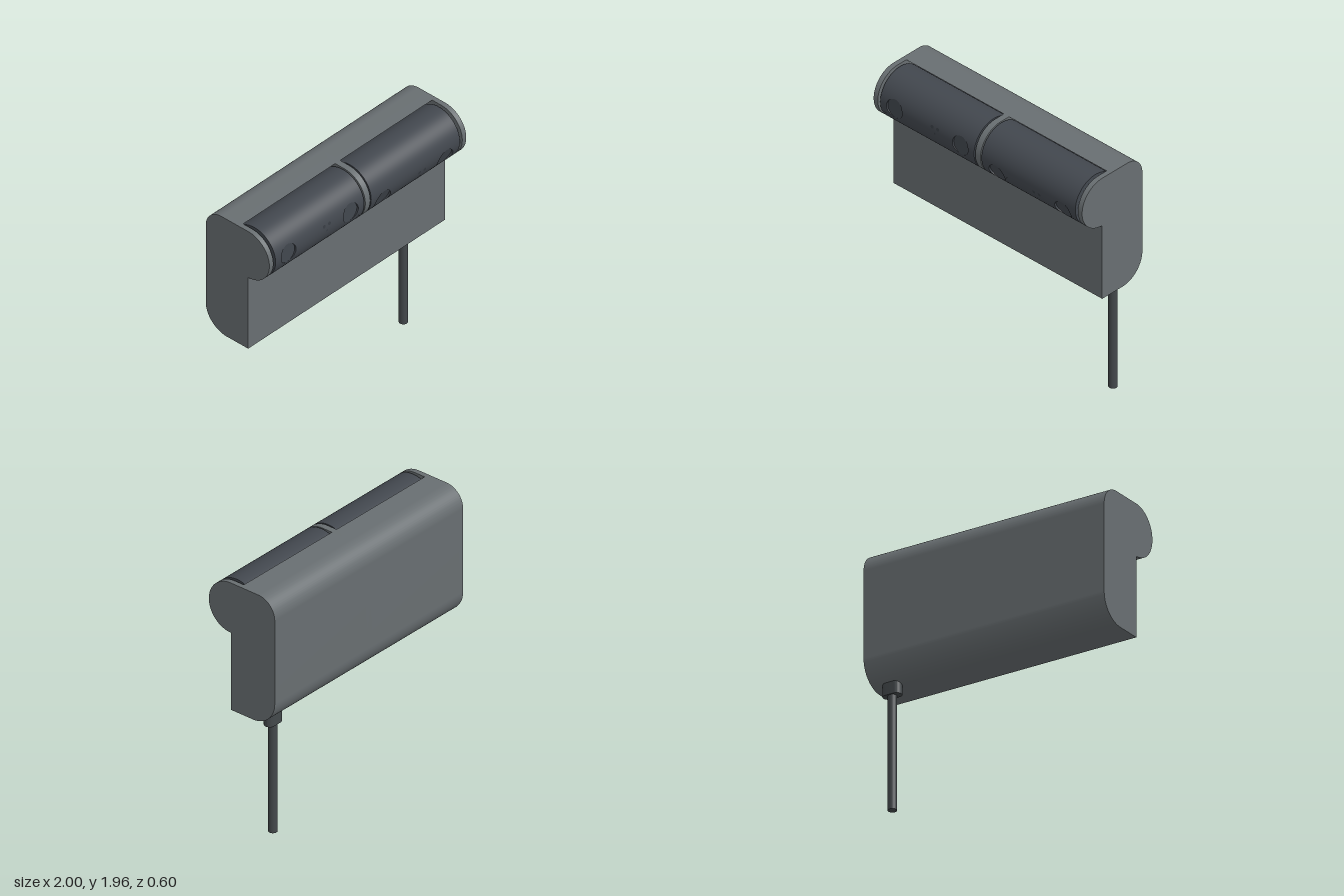
import * as THREE from 'three';
import { toCreasedNormals } from 'three/addons/utils/BufferGeometryUtils.js';
import { ParametricGeometry } from 'three/addons/geometries/ParametricGeometry.js';

const HEAD_Y = 1.76, HEAD_Z = 0.1;       // barrel axis
const R = 0.2, POCKET_R = 0.217;         // barrel and pocket radii
const LENS_R = 0.075, LENS_X = 0.316, PATCH = 0.1;
const LENS_Z = Math.sqrt(R * R - LENS_R * LENS_R);

const housingMat = new THREE.MeshStandardMaterial({ color: 0x686e71 });
housingMat.name = 'housing grey';
const barrelMat = new THREE.MeshStandardMaterial({ color: 0x42474e });
barrelMat.name = 'barrel charcoal';
const cableMat = new THREE.MeshStandardMaterial({ color: 0x43484b });
cableMat.name = 'cable charcoal';
const pinholeMat = new THREE.MeshStandardMaterial({ color: 0x363b41 });
pinholeMat.name = 'pinhole dark';

function add(parent, name, geometry, material, x = 0, y = 0, z = 0) {
  const mesh = new THREE.Mesh(geometry, material);
  mesh.name = name;
  mesh.position.set(x, y, z);
  parent.add(mesh);
  return mesh;
}

// Side profile of the housing, drawn as (z, y); the pocket version leaves room for a barrel
function housingProfile(withPocket) {
  const s = new THREE.Shape();
  s.moveTo(HEAD_Z, 0.94);
  if (withPocket) {
    const dy = 1.96 - HEAD_Y;
    const end = Math.PI - Math.asin(dy / POCKET_R);
    s.lineTo(HEAD_Z, HEAD_Y - POCKET_R);
    s.absarc(HEAD_Z, HEAD_Y, POCKET_R, -Math.PI / 2, end - Math.PI * 2, true);
  } else {
    s.lineTo(HEAD_Z, HEAD_Y - R);
    s.absarc(HEAD_Z, HEAD_Y, R, -Math.PI / 2, Math.PI / 2, false);
  }
  s.lineTo(-0.15, 1.96);
  s.absarc(-0.15, 1.81, 0.15, Math.PI / 2, Math.PI, false);
  s.lineTo(-0.3, 1.14);
  s.absarc(-0.1, 1.14, 0.2, Math.PI, Math.PI * 1.5, false);
  s.closePath();
  return s;
}

function housingSlice(x0, x1, withPocket) {
  const g = new THREE.ExtrudeGeometry(housingProfile(withPocket), {
    depth: x1 - x0, bevelEnabled: false, curveSegments: 40,
  });
  g.rotateY(-Math.PI / 2);
  g.translate(x1, 0, 0);
  return toCreasedNormals(g, 0.5);
}

// Part of the barrel skin between two x positions and two angles
function skin(x0, x1, a0, a1, segments) {
  return new ParametricGeometry((u, v, p) => {
    const a = a0 + (a1 - a0) * v;
    p.set(x0 + (x1 - x0) * u, R * Math.sin(a), R * Math.cos(a));
  }, 1, segments);
}

// Curved square of skin with a round opening
function lensSurround() {
  return new ParametricGeometry((u, v, p) => {
    const t = v * Math.PI * 2, c = Math.cos(t), s = Math.sin(t);
    const outer = PATCH / Math.max(Math.abs(c), Math.abs(s));
    const r = LENS_R + (outer - LENS_R) * u;
    p.set(r * c, r * s, Math.sqrt(R * R - r * r * s * s));
  }, 6, 64);
}

// Wall from the opening down to the flat lens
function lensWall() {
  return new ParametricGeometry((u, v, p) => {
    const t = u * Math.PI * 2, y = LENS_R * Math.sin(t);
    const top = Math.sqrt(R * R - y * y);
    p.set(LENS_R * Math.cos(t), y, top + (LENS_Z - top) * v);
  }, 64, 1);
}

function makeBarrel(name, x, tilt) {
  const barrel = new THREE.Group();
  barrel.name = name;
  const half = 0.45, inner = LENS_X - PATCH, outer = LENS_X + PATCH;
  const full = Math.PI * 2, open = Math.asin(PATCH / R);

  for (const [x0, x1] of [[-half, -outer], [-inner, inner], [outer, half]])
    add(barrel, 'barrelSkin', skin(x0, x1, 0, full, 96), barrelMat);

  for (const side of [-1, 1]) {
    const lx = side * LENS_X;
    add(barrel, 'barrelBack', skin(lx - PATCH, lx + PATCH, open, full - open, 80), barrelMat);
    add(barrel, 'lensSurround', lensSurround(), barrelMat, lx);
    add(barrel, 'lensWall', lensWall(), barrelMat, lx);
    add(barrel, 'lens', new THREE.CircleGeometry(LENS_R, 64), barrelMat, lx, 0, LENS_Z);
    const cap = add(barrel, 'barrelEnd', new THREE.CircleGeometry(R, 96), barrelMat, side * half);
    cap.rotation.y = side * Math.PI / 2;
  }

  // Two sensor holes and a smaller one below them
  for (const [hx, hy, r] of [[0.046, 0.031, 0.014], [0.099, 0.031, 0.014], [0.072, -0.014, 0.008]]) {
    const hole = add(barrel, 'sensorHole', new THREE.CircleGeometry(r, 24), pinholeMat,
      hx, hy, Math.sqrt(R * R - hy * hy) + 0.001);
    hole.rotation.x = -Math.asin(hy / R);
  }

  // Axle reaching into the housing on both sides
  const axle = new THREE.CylinderGeometry(0.03, 0.03, 0.95, 32);
  axle.rotateZ(Math.PI / 2);
  add(barrel, 'axle', axle, barrelMat);

  barrel.position.set(x, HEAD_Y, HEAD_Z);
  barrel.rotation.x = tilt;
  return barrel;
}

export function createModel() {
  const model = new THREE.Group();
  model.name = 'twinBarrelUnit';

  // Housing: end plates, centre rib and the two pocketed sections
  const housing = new THREE.Group();
  housing.name = 'housing';
  add(housing, 'rightEndPlate', housingSlice(-1, -0.96, false), housingMat);
  add(housing, 'rightSection', housingSlice(-0.96, -0.025, true), housingMat);
  add(housing, 'centreRib', housingSlice(-0.025, 0.025, false), housingMat);
  add(housing, 'leftSection', housingSlice(0.025, 0.96, true), housingMat);
  add(housing, 'leftEndPlate', housingSlice(0.96, 1, false), housingMat);
  model.add(housing);

  // Barrels: one level, one tilted down
  model.add(makeBarrel('rightBarrel', -0.487, 0));
  model.add(makeBarrel('leftBarrel', 0.485, 0.385));

  // Cable and its rounded plug
  const plug = new THREE.Shape();
  plug.absarc(0.035, 0, 0.04, -Math.PI / 2, Math.PI / 2, false);
  plug.absarc(-0.035, 0, 0.04, Math.PI / 2, Math.PI * 1.5, false);
  plug.closePath();
  const plugGeo = new THREE.ExtrudeGeometry(plug, { depth: 0.13, bevelEnabled: false, curveSegments: 20 });
  plugGeo.rotateX(-Math.PI / 2);
  add(model, 'cablePlug', toCreasedNormals(plugGeo, 0.5), cableMat, 0.855, 0.872, -0.158);
  add(model, 'cable', new THREE.CylinderGeometry(0.033, 0.033, 0.88, 40), cableMat, 0.855, 0.44, -0.158);

  return model;
}
